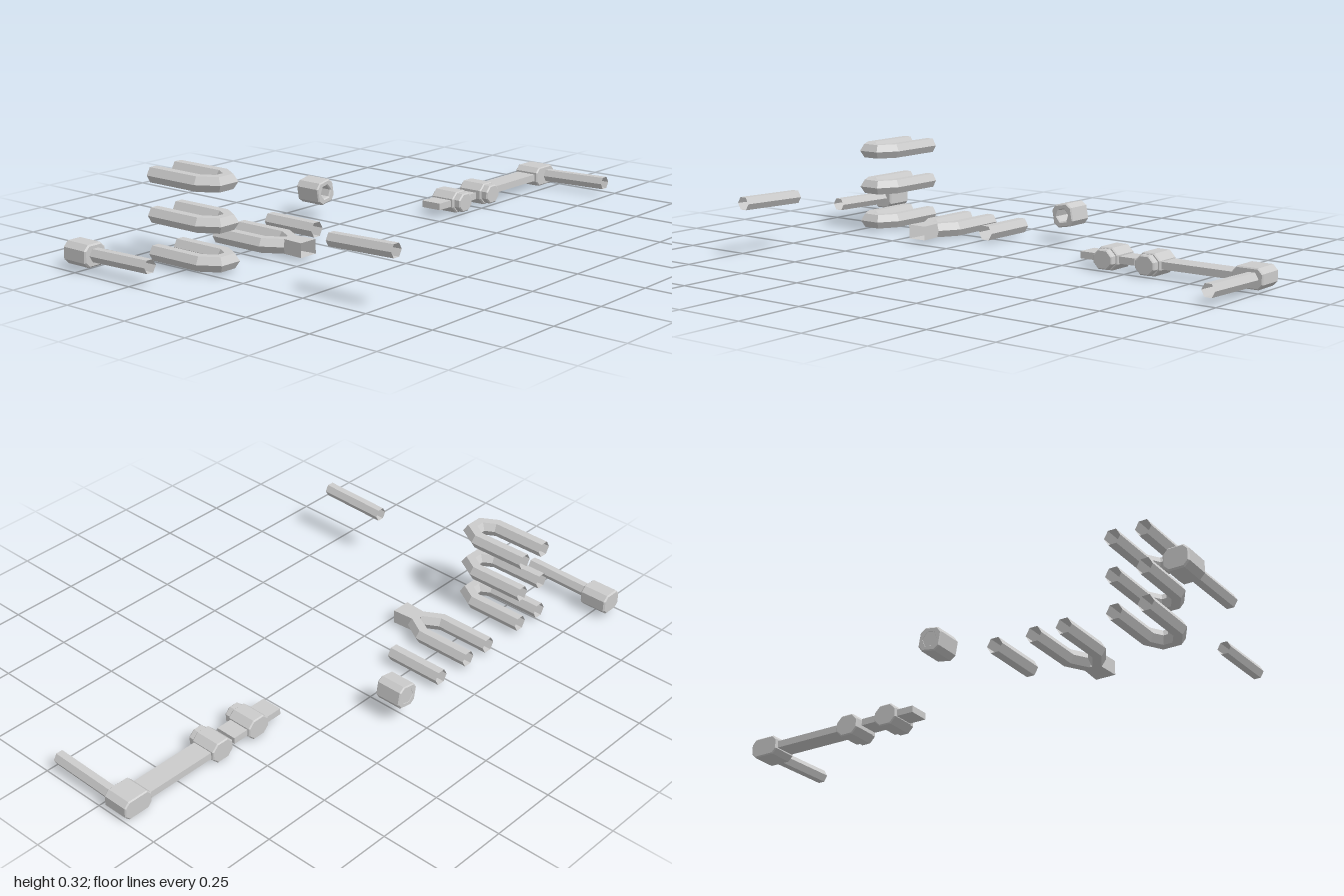
import * as THREE from 'three';

const material = new THREE.MeshStandardMaterial({ color: 0xcccccc, flatShading: true, side: THREE.DoubleSide });

function add(parent, name, geometry, x = 0, y = 0, z = 0) {
  const mesh = new THREE.Mesh(geometry, material);
  mesh.name = name;
  mesh.position.set(x, y, z);
  parent.add(mesh);
  return mesh;
}

// Joins rings of points into an open skin
function loft(rings) {
  const n = rings[0].length, index = [];
  for (let i = 0; i < rings.length - 1; i++) {
    for (let j = 0; j < n; j++) {
      const a = i * n + j, b = i * n + (j + 1) % n;
      index.push(a, a + n, b, b, a + n, b + n);
    }
  }
  const g = new THREE.BufferGeometry();
  g.setAttribute('position', new THREE.Float32BufferAttribute(rings.flat(2), 3));
  g.setIndex(index);
  const flat = g.toNonIndexed();
  flat.computeVertexNormals();
  return flat;
}

// Open six-sided pipe with mitred corners along a path of [x, y, z]
function hexPipe(path, r) {
  const rings = path.map((p, i) => {
    const dir = (a, b) => new THREE.Vector2(b[0] - a[0], b[2] - a[2]).normalize();
    const before = i > 0 ? dir(path[i - 1], p) : dir(p, path[i + 1]);
    const after = i < path.length - 1 ? dir(p, path[i + 1]) : before;
    const t = before.clone().add(after).normalize();
    const w = r / t.dot(before);
    return Array.from({ length: 6 }, (_, k) => {
      const c = Math.cos(k * Math.PI / 3) * w, s = Math.sin(k * Math.PI / 3) * r;
      return [p[0] - t.y * c, p[1] + s, p[2] + t.x * c];
    });
  });
  return loft(rings);
}

// Chamfered block running along x, optionally with a hexagonal socket
function chamferBlock(length, hz, hy, cut, bevel, socket = 0) {
  const b = bevel, w = hz - b, h = hy - b;
  const shape = new THREE.Shape([
    [w, -h + cut], [w, h - cut], [w - cut, h], [-w + cut, h],
    [-w, h - cut], [-w, -h + cut], [-w + cut, -h], [w - cut, -h],
  ].map(([x, y]) => new THREE.Vector2(x, y)));
  if (socket) {
    const hole = [];
    for (let k = 0; k < 6; k++) {
      const a = -k * Math.PI / 3;
      hole.push(new THREE.Vector2(Math.cos(a), Math.sin(a)).multiplyScalar(socket + b));
    }
    shape.holes.push(new THREE.Path(hole));
  }
  const g = new THREE.ExtrudeGeometry(shape, {
    depth: length - 2 * b, bevelEnabled: true, bevelSize: b, bevelThickness: b, bevelSegments: 1,
  });
  g.translate(0, 0, b - length / 2);
  return g.rotateY(Math.PI / 2);
}

export function createModel() {
  const model = new THREE.Group();
  model.name = 'pipeParts';

  // Three stacked U bends
  [0.04, 0.167, 0.3].forEach((y, i) => {
    const path = [[-0.385, -0.055], [-0.18, -0.055], [-0.128, -0.024], [-0.128, 0.024], [-0.18, 0.055], [-0.385, 0.055]];
    add(model, `uBend${i + 1}`, hexPipe(path.map(([x, z]) => [x, 0, z]), 0.029), 0, y, 0.7);
  });

  // Two pipes merging into a square neck
  const fork = new THREE.Group();
  fork.name = 'forkFitting';
  fork.position.set(0, 0.04, 0.41);
  for (const s of [-1, 1]) {
    add(fork, 'forkArm', hexPipe([[-0.385, 0, s * 0.055], [-0.18, 0, s * 0.055], [-0.115, 0, s * 0.017]], 0.029));
  }
  const square = (x, w, h) => [[x, -h, w], [x, -h, -w], [x, h, -w], [x, h, w]];
  add(fork, 'forkNeck', loft([square(-0.125, 0.03, 0.025), square(-0.105, 0.031, 0.025), square(-0.03, 0.036, 0.025)]));
  model.add(fork);

  // Loose straight pipes
  add(model, 'shortPipe', hexPipe([[-0.385, 0.04, 0.21], [-0.17, 0.04, 0.21]], 0.029));
  add(model, 'loosePipe', hexPipe([[0.305, 0.186, 0.68], [0.56, 0.193, 0.68]], 0.025));

  // Loose socket, open towards +x and closed behind
  const socket = new THREE.Group();
  socket.name = 'looseSocket';
  socket.position.set(-0.375, 0.105, -0.015);
  socket.rotation.x = 0.18;
  add(socket, 'socketBody', chamferBlock(0.1, 0.042, 0.041, 0.015, 0.004, 0.025));
  add(socket, 'socketBack', chamferBlock(0.02, 0.038, 0.037, 0.013, 0.002), -0.039);
  model.add(socket);

  // Capped pipe
  add(model, 'pipeCap', chamferBlock(0.105, 0.044, 0.038, 0.015, 0.005), -0.508, 0.059, 0.95);
  add(model, 'cappedPipe', hexPipe([[-0.47, 0.06, 0.95], [-0.205, 0.066, 0.95]], 0.025));

  // Handle: pipe, corner block, flat arm and hinge knuckles
  const handle = new THREE.Group();
  handle.name = 'handle';
  add(handle, 'handlePipe', hexPipe([[-0.05, 0.041, -0.96], [0.23, 0.048, -0.96]], 0.025));
  add(handle, 'cornerBlock', chamferBlock(0.098, 0.056, 0.035, 0.015, 0.004), -0.077, 0.043, -0.944);
  add(handle, 'flatArm', new THREE.BoxGeometry(0.078, 0.025, 0.33), -0.077, 0.042, -0.745);
  add(handle, 'clipArm', new THREE.BoxGeometry(0.078, 0.024, 0.215), -0.077, 0.041, -0.4075);
  for (const z of [-0.575, -0.41]) {
    add(handle, 'knuckle', chamferBlock(0.097, 0.045, 0.038, 0.02, 0.004), -0.077, 0.042, z);
    add(handle, 'knuckleCollar', chamferBlock(0.03, 0.037, 0.033, 0.018, 0.004), -0.019, 0.042, z);
  }
  model.add(handle);

  return model;
}
